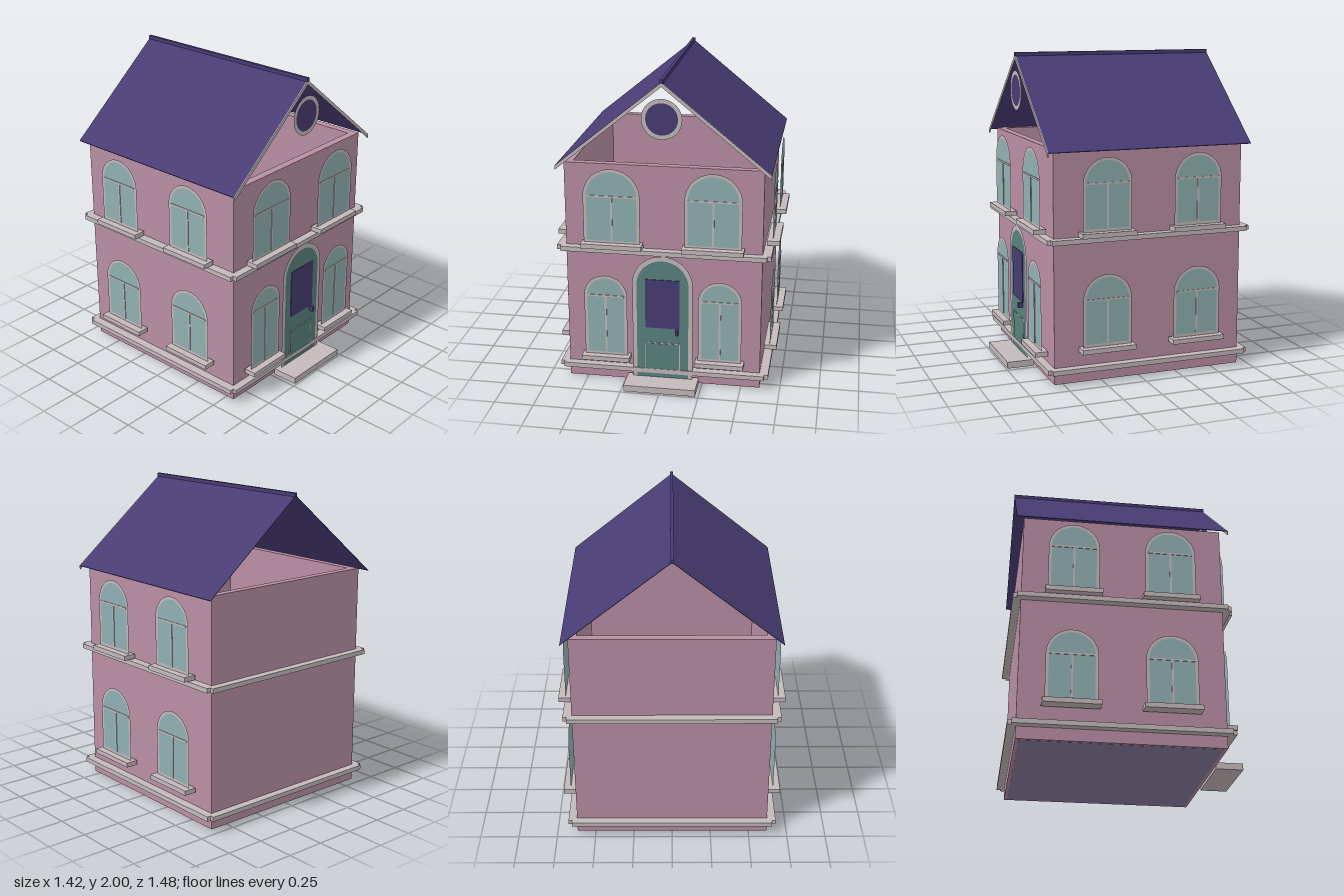
import * as THREE from 'three';

const paint = (name, color) =>
  new THREE.MeshStandardMaterial({ name, color, side: THREE.DoubleSide });

export function createModel() {
  const house = new THREE.Group();
  house.name = 'house';
  const pink = paint('pinkWall', 0xb98fa4);
  const stone = paint('paleTrim', 0xc4b9bc);
  const glass = paint('paleBlueGlass', 0x90b0b2);
  const teal = paint('tealDoor', 0x58827d);
  const purple = paint('purpleRoof', 0x483c74);
  const lavender = paint('lavenderFloor', 0x8a7d9e);

  const add = (name, geometry, material, parent = house) => {
    const mesh = new THREE.Mesh(geometry, material);
    mesh.name = name;
    parent.add(mesh);
    return mesh;
  };
  // Box given by its limits on each axis
  const box = (name, material, [x0, x1], [y0, y1], [z0, z1], parent) => {
    const mesh = add(name, new THREE.BoxGeometry(x1 - x0, y1 - y0, z1 - z0), material, parent);
    mesh.position.set((x0 + x1) / 2, (y0 + y1) / 2, (z0 + z1) / 2);
    return mesh;
  };
  // Round-topped outline: half width, bottom, height where the arch starts
  const arch = (r, bottom, spring, Kind = THREE.Shape) => {
    const s = new Kind();
    s.moveTo(-r, bottom);
    s.lineTo(r, bottom);
    s.lineTo(r, spring);
    s.absarc(0, spring, r, 0, Math.PI, false);
    s.closePath();
    return s;
  };
  const flat = (shape) => new THREE.ShapeGeometry(shape, 20);

  // Hollow walls, open at the top
  const plan = new THREE.Shape();
  const rect = (p, x, z0, z1) =>
    p.moveTo(-x, -z0).lineTo(x, -z0).lineTo(x, -z1).lineTo(-x, -z1).closePath();
  rect(plan, 0.62, 0.555, -0.69);
  const room = new THREE.Path();
  rect(room, 0.57, 0.505, -0.64);
  plan.holes.push(room);
  const wallGeo = new THREE.ExtrudeGeometry(plan, { depth: 1.455, bevelEnabled: false });
  add('walls', wallGeo.rotateX(-Math.PI / 2), pink);
  box('floor', lavender, [-0.6, 0.6], [-0.001, 0.02], [-0.67, 0.535]);

  // Stone bands around each storey
  for (const y of [0.075, 0.885]) {
    const h = [y, y + 0.03];
    box('frontBand', stone, [-0.65, 0.65], h, [0.555, 0.605]);
    box('backBand', stone, [-0.65, 0.65], h, [-0.74, -0.69]);
    box('leftBand', stone, [0.62, 0.675], h, [-0.715, 0.58]);
    box('rightBand', stone, [-0.675, -0.62], h, [-0.715, 0.58]);
  }

  // Arched window, built facing +z with its plane at z = 0
  const makeWindow = (r, sillHalf, sillY, bottom, spring, inset) => {
    const g = new THREE.Group();
    g.name = 'window';
    const frame = arch(r, sillY + 0.02, spring);
    frame.holes.push(arch(r - inset, bottom, spring, THREE.Path));
    add('windowFrame', flat(frame), stone, g);
    add('windowGlass', flat(arch(r - inset, bottom, spring)), glass, g);
    box('mullion', stone, [-0.006, 0.006], [bottom, spring], [0, 0.004], g);
    box('transom', stone, [-r + inset, r - inset], [spring - 0.005, spring + 0.006], [0, 0.004], g);
    box('sill', stone, [-sillHalf, sillHalf], [sillY, sillY + 0.03], [-0.035, 0.045], g);
    house.add(g);
    return g;
  };
  for (const side of [-1, 1]) {
    // Front windows
    makeWindow(0.178, 0.192, 0.925, 0.968, 1.257, 0.02).position.set(side * 0.317, 0, 0.6);
    makeWindow(0.138, 0.155, 0.155, 0.2, 0.593, 0.02).position.set(side * 0.365, 0, 0.6);
    // Side windows on both storeys
    for (const z of [0.225, -0.375]) {
      for (const y of [0, 0.72]) {
        const w = makeWindow(0.158, 0.175, 0.2 + y, 0.248 + y, 0.525 + y, 0.019);
        w.position.set(side * 0.667, 0, z);
        w.rotation.y = side * Math.PI / 2;
      }
    }
  }

  // Door with its surround, panels, knob and step
  const door = new THREE.Group();
  door.name = 'door';
  house.add(door);
  const surround = arch(0.192, 0.04, 0.69);
  surround.holes.push(arch(0.165, 0.04, 0.685, THREE.Path));
  add('doorSurround', flat(surround), stone, door).position.z = 0.598;
  add('doorLeaf', flat(arch(0.165, 0.04, 0.685)), teal, door).position.z = 0.598;
  box('upperPanel', purple, [-0.11, 0.11], [0.395, 0.725], [0.598, 0.603], door);
  box('lowerPanelEdge', stone, [-0.112, 0.112], [0.1, 0.29], [0.598, 0.601], door);
  box('lowerPanel', teal, [-0.107, 0.107], [0.1, 0.285], [0.598, 0.603], door);
  box('doorKnob', purple, [0.085, 0.104], [0.36, 0.393], [0.6, 0.63], door);
  box('doorStep', stone, [-0.23, 0.23], [0.003, 0.045], [0.57, 0.743]);

  // Gabled roof: thin sheet, front bargeboard and ridge cap
  const chevron = (thickness, z0, z1) => {
    const s = new THREE.Shape();
    s.moveTo(-0.665, 1.443).lineTo(-0.665, 1.443 - thickness).lineTo(0, 1.985 - thickness);
    s.lineTo(0.665, 1.443 - thickness).lineTo(0.665, 1.443).lineTo(0, 1.985).closePath();
    const g = new THREE.ExtrudeGeometry(s, { depth: z1 - z0, bevelEnabled: false });
    return g.translate(0, 0, z0);
  };
  add('roof', chevron(0.004, -0.735, 0.596), purple);
  add('bargeboard', chevron(0.027, 0.596, 0.602), stone);
  box('ridgeCap', purple, [-0.01, 0.01], [1.975, 2], [-0.735, 0.603]);

  // Round window in the open gable
  const ring = add('roundWindowFrame', new THREE.RingGeometry(0.099, 0.125, 40), stone);
  ring.position.set(0, 1.76, 0.598);
  const pane = add('roundWindowPane', new THREE.CircleGeometry(0.099, 40), purple);
  pane.position.copy(ring.position);

  return house;
}
